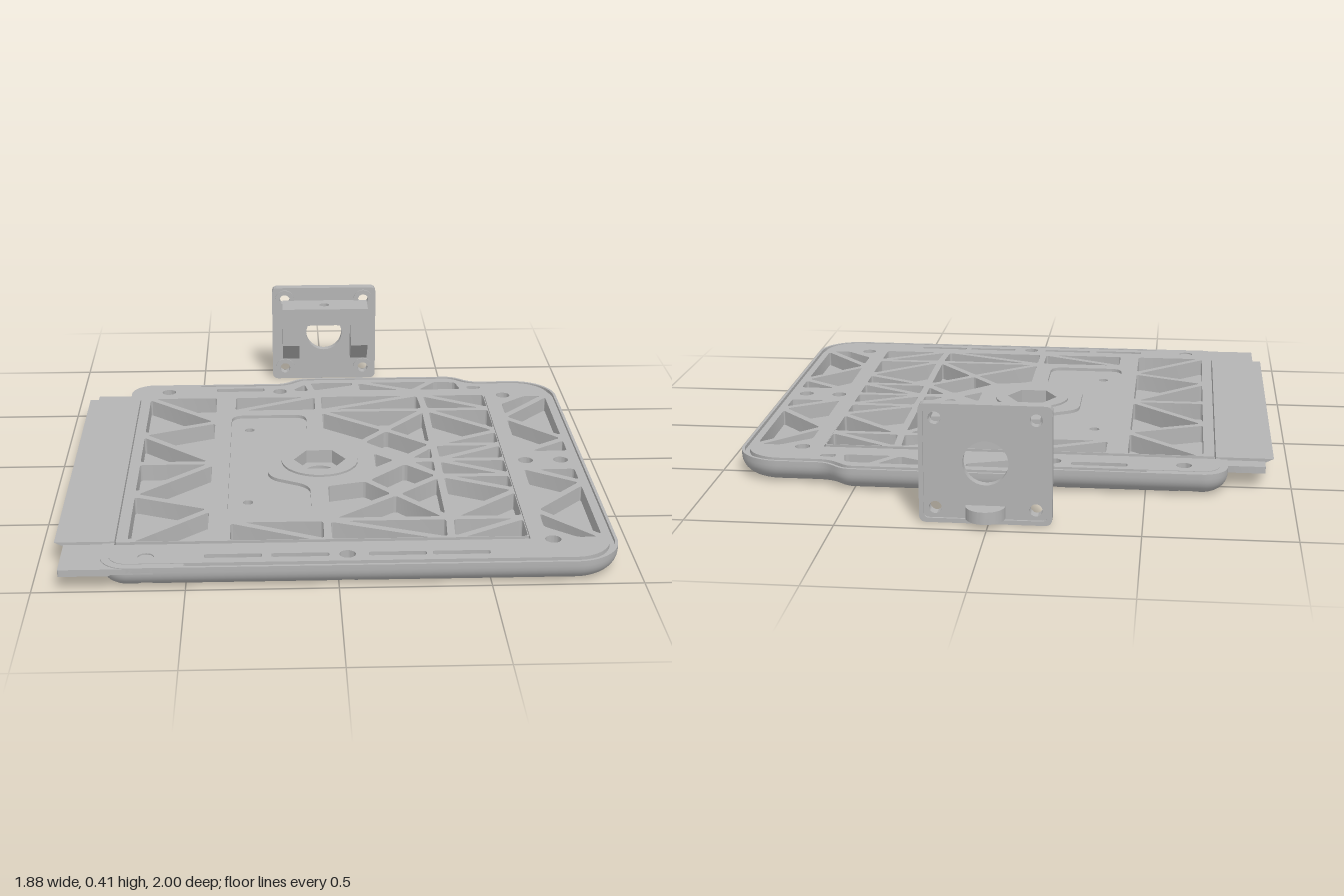
import * as THREE from 'three';
import { toCreasedNormals } from 'three/addons/utils/BufferGeometryUtils.js';

const grey = new THREE.MeshStandardMaterial({ color: 0xb4b4b4 });
grey.name = 'plain grey';

const mesh = (name, geo) => {
  const m = new THREE.Mesh(toCreasedNormals(geo, 0.6), grey);
  m.name = name;
  return m;
};

// Closed shape with rounded corners
function rounded(pts, r = 0.015) {
  const s = new THREE.Shape(), n = pts.length;
  const toward = (a, b) => {
    const d = Math.hypot(b[0] - a[0], b[1] - a[1]), t = Math.min(r, d * 0.4) / d;
    return [a[0] + (b[0] - a[0]) * t, a[1] + (b[1] - a[1]) * t];
  };
  pts.forEach((p, i) => {
    const a = toward(p, pts[(i + n - 1) % n]), b = toward(p, pts[(i + 1) % n]);
    if (i) s.lineTo(...a); else s.moveTo(...a);
    s.quadraticCurveTo(...p, ...b);
  });
  s.closePath();
  return s;
}
const rect = (x0, y0, x1, y1, r) => rounded([[x0, y0], [x1, y0], [x1, y1], [x0, y1]], r);
const circle = (x, y, r) => new THREE.Shape().absarc(x, y, r, 0, Math.PI * 2);
const hole = ([x, z], r) => circle(x, -z, r);

// Polygon in x,z moved inward so neighbouring pockets leave a rib between them
function pocket(poly, d = 0.013) {
  const p = poly.map(([x, z]) => [x, -z]), n = p.length;
  let area = 0;
  p.forEach((a, i) => { const b = p[(i + 1) % n]; area += a[0] * b[1] - b[0] * a[1]; });
  const sign = Math.sign(area);
  const normal = (a, b) => {
    const l = Math.hypot(b[0] - a[0], b[1] - a[1]);
    return [-(b[1] - a[1]) / l * sign, (b[0] - a[0]) / l * sign];
  };
  return rounded(p.map((q, i) => {
    const u = normal(p[(i + n - 1) % n], q), v = normal(q, p[(i + 1) % n]);
    const k = d / (1 + u[0] * v[0] + u[1] * v[1]);
    return [q[0] + (u[0] + v[0]) * k, q[1] + (u[1] + v[1]) * k];
  }));
}

const extrude = (shape, holes, depth) => {
  shape.holes.push(...holes);
  return new THREE.ExtrudeGeometry(shape, { depth, bevelEnabled: false, curveSegments: 16 });
};
// Flat slab between two heights; shape drawn in x,-z
const slab = (name, shape, holes, y0, y1) =>
  mesh(name, extrude(shape, holes, y1 - y0).rotateX(-Math.PI / 2).translate(0, y0, 0));

// Pockets mirrored about the middle of the plate
const mirror = list => [...list, ...list.map(poly => poly.map(([x, z]) => [x, 0.38 - z]))];

const edgeScrews = [[-0.63, 0.925], [0.03, 0.925], [-0.63, -0.535], [-0.18, -0.53], [0.85, 0.19]];
const innerScrews = [[0.72, -0.46], [0.72, 0.19], [0.72, 0.84]];
const pins = [[-0.3, -0.14], [-0.3, 0.51]];
const hub = [-0.04, 0.19];

const panelPockets = [
  ...mirror([
    // left truss
    [[-0.71, -0.46], [-0.42, -0.46], [-0.42, -0.2]],
    [[-0.71, -0.46], [-0.42, -0.2], [-0.71, -0.08]],
    [[-0.71, -0.08], [-0.42, -0.2], [-0.42, 0.19]],
    [[-0.71, -0.08], [-0.42, 0.19], [-0.71, 0.19]],
    // end row
    [[-0.37, -0.46], [-0.03, -0.46], [-0.37, -0.3]],
    [[-0.03, -0.46], [-0.03, -0.3], [-0.37, -0.3]],
    [[-0.03, -0.46], [0.38, -0.46], [-0.03, -0.3]],
    [[0.38, -0.46], [0.65, -0.46], [0.65, -0.3]],
    [[0.38, -0.46], [0.65, -0.3], [0.39, -0.3]],
    [[0.38, -0.46], [0.39, -0.3], [-0.03, -0.3]],
    // cross ribs
    [[-0.03, -0.3], [0.39, -0.3], [0.22, -0.1]],
    [[-0.03, -0.3], [0.22, -0.1], [0.12, 0.02], [-0.03, -0.02]],
    [[0.39, -0.3], [0.39, 0.05], [0.22, -0.1]],
    [[0.12, 0.02], [0.22, -0.1], [0.39, 0.05], [0.27, 0.17]],
    [[0.39, 0.05], [0.39, 0.19], [0.28, 0.18]],
    // right truss
    [[0.39, -0.3], [0.65, -0.3], [0.65, -0.08]],
    [[0.39, -0.3], [0.65, -0.08], [0.39, 0.05]],
    [[0.39, 0.05], [0.65, -0.08], [0.65, 0.05]],
    [[0.39, 0.05], [0.65, 0.05], [0.39, 0.19]],
    [[0.65, 0.05], [0.65, 0.19], [0.39, 0.19]],
  ]),
  [[0.15, 0.1], [0.15, 0.28], [0.25, 0.19]],
];

const framePockets = [
  ...mirror([
    [[0.69, -0.37], [0.8, -0.46], [0.9, -0.46], [0.69, -0.23]],
    [[0.69, -0.23], [0.9, -0.46], [0.9, -0.01]],
    [[0.69, -0.23], [0.9, -0.01], [0.69, 0.13]],
    [[0.9, -0.01], [0.9, 0.12], [0.77, 0.12], [0.74, 0.1]],
  ]),
  // bumped back edge
  [[-0.45, -0.58], [-0.23, -0.58], [-0.23, -0.52], [-0.45, -0.52]],
  [[-0.14, -0.55], [-0.07, -0.63], [-0.05, -0.52], [-0.12, -0.52]],
  [[-0.07, -0.63], [0.13, -0.63], [0.13, -0.58], [-0.05, -0.52]],
  [[0.13, -0.63], [0.36, -0.52], [0.13, -0.52]],
  [[0.13, -0.63], [0.45, -0.63], [0.36, -0.52]],
  [[0.36, -0.52], [0.45, -0.63], [0.55, -0.62], [0.57, -0.52]],
  [[0.57, -0.58], [0.66, -0.57], [0.64, -0.52], [0.57, -0.52]],
];
const slots = [-0.44, -0.22, 0.1, 0.31].map(x => rect(x, -0.938, x + 0.19, -0.912, 0.01));

// Rounded plate outline with a shallow bump along the back
function outlinePoints() {
  const h = Math.PI / 2, s = new THREE.Shape();
  s.moveTo(-0.69, -1).lineTo(0.775, -1);
  s.absarc(0.775, -0.84, 0.16, -h, 0).absarc(0.775, 0.46, 0.16, 0, h);
  s.lineTo(0.64, 0.62).bezierCurveTo(0.57, 0.62, 0.57, 0.68, 0.5, 0.68);
  s.lineTo(-0.06, 0.68).bezierCurveTo(-0.13, 0.68, -0.13, 0.62, -0.2, 0.62);
  s.absarc(-0.69, 0.53, 0.09, h, 2 * h).absarc(-0.69, -0.91, 0.09, 2 * h, 3 * h);
  return s.getSpacedPoints(700).slice(0, -1);
}

function basePlate() {
  const g = new THREE.Group(), pts = outlinePoints(), n = pts.length;
  g.name = 'basePlate';
  const normals = pts.map((p, i) => {
    const t = pts[(i + 1) % n].clone().sub(pts[(i + n - 1) % n]).normalize();
    return new THREE.Vector2(-t.y, t.x);
  });
  const inset = d => pts.map((p, i) => p.clone().addScaledVector(normals[i], d));
  const R = 0.045, floorY = 0.025;
  const screwAt = p => edgeScrews.find(([x, z]) => Math.hypot(p.x - x, p.y + z) < R);

  // underside outline, scalloped by the screw recesses at the edge
  const under = inset(0.075).map((p, i) => {
    const s = screwAt(p);
    if (!s) return p;
    const d = new THREE.Vector2(p.x - s[0], p.y + s[1]), b = d.dot(normals[i]);
    return p.addScaledVector(normals[i], -b + Math.sqrt(b * b - d.lengthSq() + R * R));
  });
  const through = [...pins.map(p => hole(p, 0.018)), hole(hub, 0.055)];
  const screwHoles = [...edgeScrews, ...innerScrews].map(p => hole(p, 0.027));
  g.add(slab('underside', new THREE.Shape(under), [...innerScrews.map(p => hole(p, R)), ...through], 0, floorY));
  g.add(slab('pocketFloor', new THREE.Shape(inset(0.03)), [...screwHoles, ...through], floorY, 0.03));
  g.add(slab('frame', new THREE.Shape(inset(0.028)),
    [rect(-0.74, -0.835, 0.645, 0.455, 0.004), ...screwHoles, ...slots, ...framePockets.map(p => pocket(p))], 0.03, 0.085));

  // rounded rim with a groove along its top
  const rings = [];
  const ring = (d, y) => rings.push(inset(d).map(p => [p.x, screwAt(p) ? Math.max(y, floorY) : y, -p.y]));
  rings.push(under.map((p, i) => [p.x, screwAt(inset0[i] = pts[i].clone().addScaledVector(normals[i], 0.075)) ? floorY : 0, -p.y]));
  for (let k = 1; k <= 8; k++) {
    const a = k / 8 * Math.PI / 2;
    ring(0.075 * (1 - Math.sin(a)), 0.065 * (1 - Math.cos(a)));
  }
  [[0, 0.083], [0.01, 0.083], [0.01, 0.07], [0.028, 0.07], [0.028, 0.085]].forEach(([d, y]) => ring(d, y));
  rings.slice(-3, -1).forEach(r => r.forEach(p => { if (p[0] < -0.5) p[1] = 0.083; }));
  const index = [];
  for (let i = 0; i < rings.length - 1; i++) for (let j = 0; j < n; j++) {
    const k = (j + 1) % n, a = i * n + j, b = i * n + k;
    if ([rings[i][j], rings[i][k], rings[i + 1][j], rings[i + 1][k]].every(p => p[1] === floorY)) continue;
    index.push(a, b, b + n, a, b + n, a + n);
  }
  const rim = new THREE.BufferGeometry();
  rim.setAttribute('position', new THREE.Float32BufferAttribute(rings.flat(2), 3));
  rim.setIndex(index);
  g.add(mesh('rim', rim));

  // raised ribbed panel with a shallow recess beside the hub
  const recess = () => rounded([[-0.37, 0.26], [-0.08, 0.26], [-0.08, 0.02], [-0.23, -0.06], [-0.23, -0.32],
    [-0.08, -0.4], [-0.08, -0.64], [-0.37, -0.64]], 0.05);
  g.add(slab('ribbedPanel', rect(-0.735, -0.83, 0.64, 0.45, 0.004),
    [...panelPockets.map(p => pocket(p)), recess(), hole(hub, 0.138)], 0.03, 0.092));
  g.add(slab('recessFloor', recess(), pins.map(p => hole(p, 0.018)), 0.03, 0.08));
  const hex = new THREE.Shape([0, 1, 2, 3, 4, 5].map(i =>
    new THREE.Vector2(hub[0] + 0.095 * Math.cos(i * Math.PI / 3), -hub[1] + 0.095 * Math.sin(i * Math.PI / 3))));
  g.add(slab('hub', hole(hub, 0.14), [hex], 0.05, 0.1));
  g.add(slab('hubSeat', hole(hub, 0.14), [hole(hub, 0.055)], 0.03, 0.05));

  // side tab with a bevelled lip, and the lower ledge under it
  const lip = new THREE.Shape([[-0.94, 0.09], [-0.87, 0.055], [-0.74, 0.055], [-0.74, 0.09]].map(p => new THREE.Vector2(...p)));
  g.add(mesh('sideTab', extrude(lip, [], 1.27).translate(0, 0, -0.45)));
  g.add(slab('sideLedge', rect(-0.91, -1, -0.742, 0.51, 0.004), [], 0.056, 0.08));
  g.add(slab('cornerLedge', rect(-0.76, -1, -0.6, -0.9, 0.004), [], 0.06, 0.08));
  return g;
}
const inset0 = [];

function bracket() {
  const g = new THREE.Group(), cx = 0.01;
  g.name = 'bracket';
  const corners = [-0.165, 0.165].flatMap(x => [[cx + x, 0.355], [cx + x, 0.05]]);
  const plateHoles = [...corners.map(p => circle(...p, 0.021)), circle(cx, 0.205, 0.075)];
  const flat = (name, shape, holes, z0, z1) => g.add(mesh(name, extrude(shape, holes, z1 - z0).translate(0, 0, z0)));
  flat('mountingPlate', rect(-0.208, 0, 0.228, 0.405, 0.025), plateHoles, -0.93, -0.9);
  flat('backRim', rect(-0.208, 0, 0.228, 0.405, 0.025), [rect(-0.193, 0.015, 0.213, 0.39, 0.02)], -0.938, -0.93);
  corners.forEach(p => flat('screwBoss', circle(...p, 0.04), [circle(...p, 0.021)], -0.9, -0.893));

  // chamfered cheeks with cross holes
  [-0.165, 0.12].forEach(x => {
    const side = new THREE.Shape([[0.9, 0.105], [0.9, 0.35], [0.78, 0.35], [0.78, 0.19], [0.86, 0.105]].map(p => new THREE.Vector2(...p)));
    g.add(mesh('cheek', extrude(side, [circle(0.845, 0.27, 0.022)], 0.07).rotateY(Math.PI / 2).translate(x, 0, 0)));
  });
  g.add(slab('bridge', rect(-0.096, 0.78, 0.121, 0.9, 0.001), [circle(cx, 0.84, 0.02)], 0.28, 0.35));
  // rounded inner corners of the arch
  [-1, 1].forEach(s => {
    const x = cx + s * 0.107, f = new THREE.Shape();
    f.moveTo(x, 0.28).lineTo(x, 0.22).quadraticCurveTo(x, 0.28, x - s * 0.06, 0.28);
    flat('archFillet', f, [], -0.9, -0.78);
  });
  // half-round tongue behind the plate
  g.add(slab('tongue', new THREE.Shape().absarc(cx, 0.935, 0.065, 0, Math.PI), [], 0.02, 0.062));
  return g;
}

export function createModel() {
  const model = new THREE.Group();
  model.name = 'plateAndBracket';
  model.add(basePlate(), bracket());
  return model;
}
